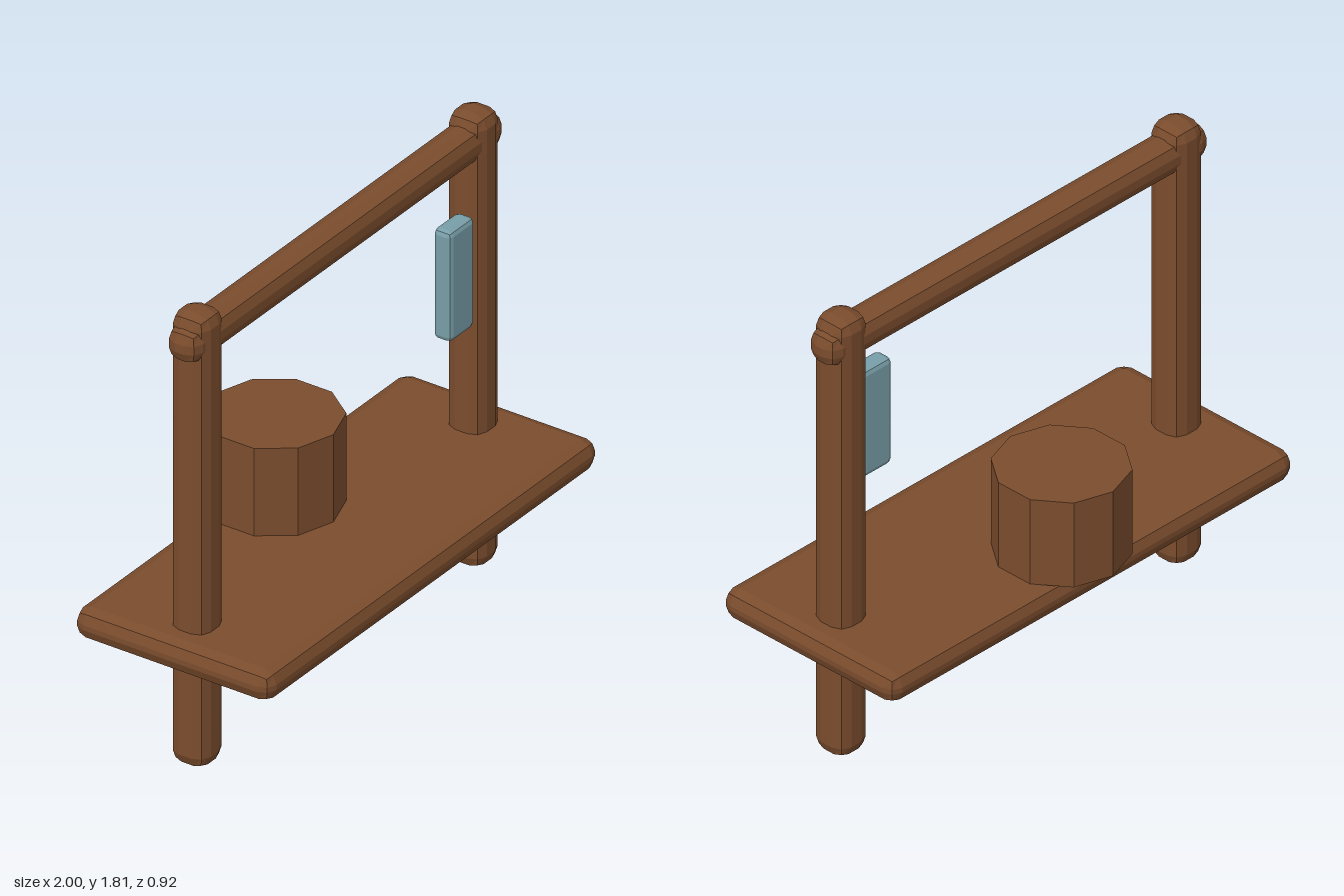
import * as THREE from 'three';
import { RoundedBoxGeometry } from 'three/addons/geometries/RoundedBoxGeometry.js';

export function createModel() {
  const model = new THREE.Group();
  model.name = 'marketStall';

  const wood = new THREE.MeshStandardMaterial({ color: 0x7a4c2d, flatShading: true });
  wood.name = 'brown wood';
  const blue = new THREE.MeshStandardMaterial({ color: 0x789ea8, flatShading: true });
  blue.name = 'pale blue';

  const add = (name, geometry, material, x, y, z) => {
    const mesh = new THREE.Mesh(geometry, material);
    mesh.name = name;
    mesh.position.set(x, y, z);
    model.add(mesh);
  };
  // box with bevelled edges, two facets per corner
  const bevelBox = (w, h, d, r) => new RoundedBoxGeometry(w, h, d, 1, r);

  const frameZ = 0.042;

  // counter board
  add('counter', bevelBox(2, 0.12, 0.83, 0.05), wood, 0, 0.49, 0.045);

  // posts pass through the counter down to the ground
  for (const [name, side] of [['leftPost', 1], ['rightPost', -1]]) {
    add(name, bevelBox(0.15, 1.81, 0.15, 0.05), wood, side * 0.83, 0.905, frameZ);
  }

  // crossbar between the post tops, its ends poking out
  add('crossbar', bevelBox(1.88, 0.134, 0.134, 0.05), wood, 0, 1.7, frameZ);

  // ten-sided block standing on the back of the counter
  add('barrel', new THREE.CylinderGeometry(0.247, 0.247, 0.35, 10), wood, 0, 0.725, -0.213);

  // hanging tag
  add('hangingTag', bevelBox(0.15, 0.44, 0.075, 0.02), blue, 0.62, 1.255, 0.107);

  return model;
}
